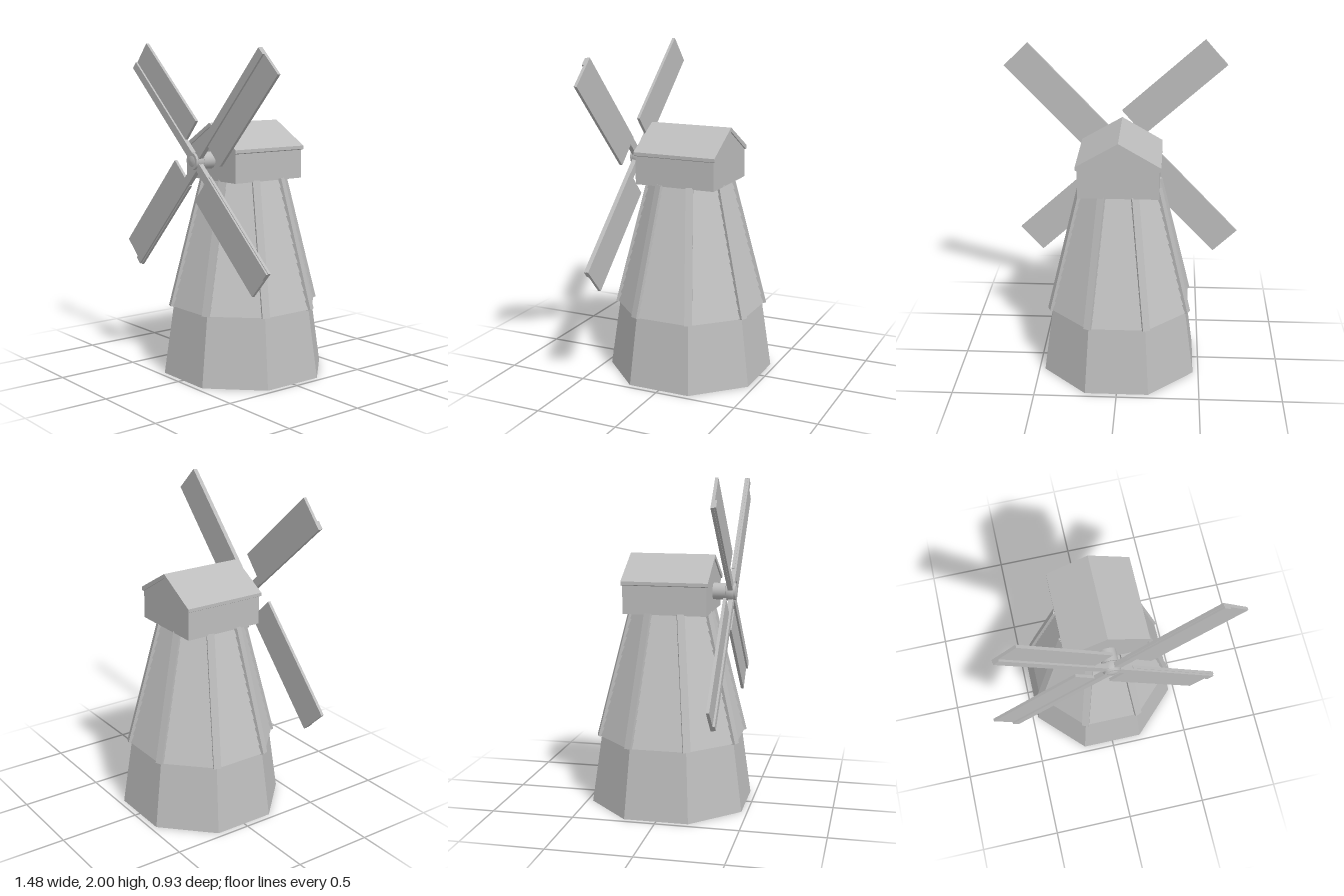
import * as THREE from 'three';

const SIDES = 8;
const OCT = Math.cos(Math.PI / SIDES); // flat-to-flat over corner-to-corner

const stone = new THREE.MeshStandardMaterial({ color: 0xbcbcbc });
stone.name = 'plain grey';

function add(parent, name, geometry) {
  const mesh = new THREE.Mesh(geometry, stone);
  mesh.name = name;
  parent.add(mesh);
  return mesh;
}

// Closed octagonal shell from [half width across flats, height] points
function octagon(profile) {
  const pts = profile.map(([w, y]) => new THREE.Vector2(w / OCT, y));
  const geo = new THREE.LatheGeometry(pts, SIDES, Math.PI / SIDES).toNonIndexed();
  geo.computeVertexNormals();
  return geo;
}

// Outline in x, y extruded to a depth centred on z = 0
function prism(points, depth) {
  const shape = new THREE.Shape(points.map(([x, y]) => new THREE.Vector2(x, y)));
  return new THREE.ExtrudeGeometry(shape, { depth, bevelEnabled: false }).translate(0, 0, -depth / 2);
}

export function createModel() {
  const model = new THREE.Group();
  model.name = 'windmill';

  // Hollow tapered base
  add(model, 'base', octagon([[0.465, 0], [0.408, 0.425], [0.38, 0.425], [0.437, 0], [0.465, 0]]));

  // Lapped boards: each row flares outwards at its lower edge
  const y0 = 0.42, y1 = 1.2, w0 = 0.42, w1 = 0.235, rows = 14;
  const profile = [];
  for (let i = 0; i < rows; i++) {
    const a = i / rows, b = (i + 1) / rows;
    profile.push([w0 + (w1 - w0) * a + 0.006, y0 + (y1 - y0) * a]);
    profile.push([w0 + (w1 - w0) * b - 0.003, y0 + (y1 - y0) * b]);
  }
  profile.push([w1 - 0.03, y1], [w0 - 0.045, y0], profile[0]);
  add(model, 'towerBoards', octagon(profile));

  // Leaning posts over the tower corners
  const r0 = 0.467, r1 = 0.266, rise = y1 - y0;
  const lean = Math.atan2(r0 - r1, rise);
  for (let i = 0; i < SIDES; i++) {
    const corner = new THREE.Group();
    corner.name = 'cornerPost' + (i + 1);
    corner.rotation.y = (i + 0.5) * Math.PI / 4;
    const post = add(corner, 'post', new THREE.BoxGeometry(0.045, Math.hypot(rise, r0 - r1), 0.03).translate(0, 0, -0.015));
    post.position.set(0, (y0 + y1) / 2, (r0 + r1) / 2);
    post.rotation.x = -lean;
    model.add(corner);
  }

  // Cap with gable ends and a pitched roof
  add(model, 'capWalls', prism([[-0.24, 1.19], [0.24, 1.19], [0.24, 1.37], [0, 1.515], [-0.24, 1.37]], 0.505));
  add(model, 'roof', prism([[-0.25, 1.365], [-0.24, 1.36], [0, 1.505], [0.24, 1.36], [0.25, 1.365], [0.25, 1.385], [0, 1.53], [-0.25, 1.385]], 0.522));

  // Shaft and rounded hub
  const axleY = 1.31;
  add(model, 'shaft', new THREE.CylinderGeometry(0.05, 0.05, 0.16, 24).rotateX(Math.PI / 2)).position.set(0, axleY, 0.31);
  const hubProfile = [[0, -0.035], [0.05, -0.035], [0.055, -0.03], [0.055, 0.005], [0.045, 0.02], [0.025, 0.028], [0, 0.03]];
  add(model, 'hub', new THREE.LatheGeometry(hubProfile.map(([x, y]) => new THREE.Vector2(x, y)), 24).rotateX(Math.PI / 2)).position.set(0, axleY, 0.365);

  // Four sails: [angle in degrees, length, sideways shift]
  const sails = [[138.3, 0.832, 0], [46.3, 0.88, 0], [-42.2, 0.872, 0], [226.3, 0.917, -0.035]];
  sails.forEach(([degrees, length, shift], i) => {
    const sail = new THREE.Group();
    sail.name = 'sail' + (i + 1);
    sail.position.set(0, axleY, 0.36);
    sail.rotation.z = THREE.MathUtils.degToRad(degrees);
    add(sail, 'arm', new THREE.BoxGeometry(length, 0.05, 0.03)).position.set(length / 2, -shift * 0.9, 0);
    const inner = 0.152;
    add(sail, 'panel', new THREE.BoxGeometry(length - inner, 0.208, 0.018)).position.set((length + inner) / 2, -0.075 - shift, -0.006);
    model.add(sail);
  });

  return model;
}
